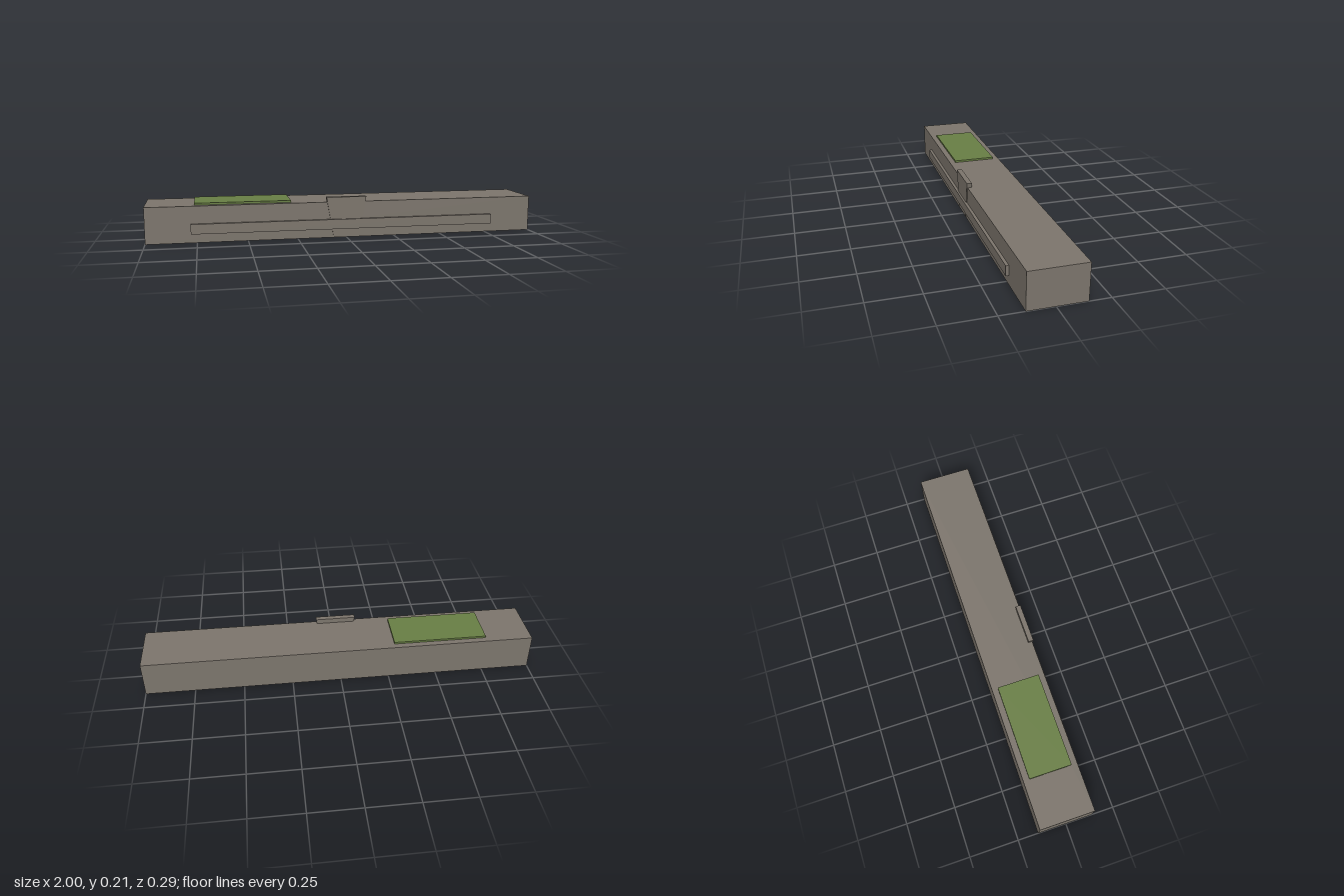
import * as THREE from 'three';

const stone = new THREE.MeshStandardMaterial({ color: 0x7d766d });
stone.name = 'stone grey';
const moss = new THREE.MeshStandardMaterial({ color: 0x697f45 });
moss.name = 'moss green';

// Box given by its extents on each axis
function block(name, material, [x0, x1], [y0, y1], [z0, z1]) {
  const mesh = new THREE.Mesh(new THREE.BoxGeometry(x1 - x0, y1 - y0, z1 - z0), material);
  mesh.position.set((x0 + x1) / 2, (y0 + y1) / 2, (z0 + z1) / 2);
  mesh.name = name;
  return mesh;
}

export function createModel() {
  const model = new THREE.Group();
  model.name = 'lintel';

  // Long beam, raised front band and moss patch on top
  model.add(
    block('beam', stone, [-1, 1], [0, 0.183], [-0.146, 0.132]),
    block('frontBand', stone, [-0.78, 0.78], [0.045, 0.095], [0.125, 0.147]),
    block('mossPatch', moss, [-0.76, -0.28], [0.18, 0.193], [-0.115, 0.102])
  );

  // Keystone: wedge narrowing downwards, its head standing above the beam
  const wedge = new THREE.Shape([
    new THREE.Vector2(-0.068, 0.01),
    new THREE.Vector2(0.068, 0.01),
    new THREE.Vector2(0.103, 0.208),
    new THREE.Vector2(-0.103, 0.208),
  ]);
  const keystone = new THREE.Mesh(
    new THREE.ExtrudeGeometry(wedge, { depth: 0.026, bevelEnabled: false }), stone);
  keystone.position.z = 0.111;
  keystone.name = 'keystone';
  model.add(keystone);

  return model;
}
